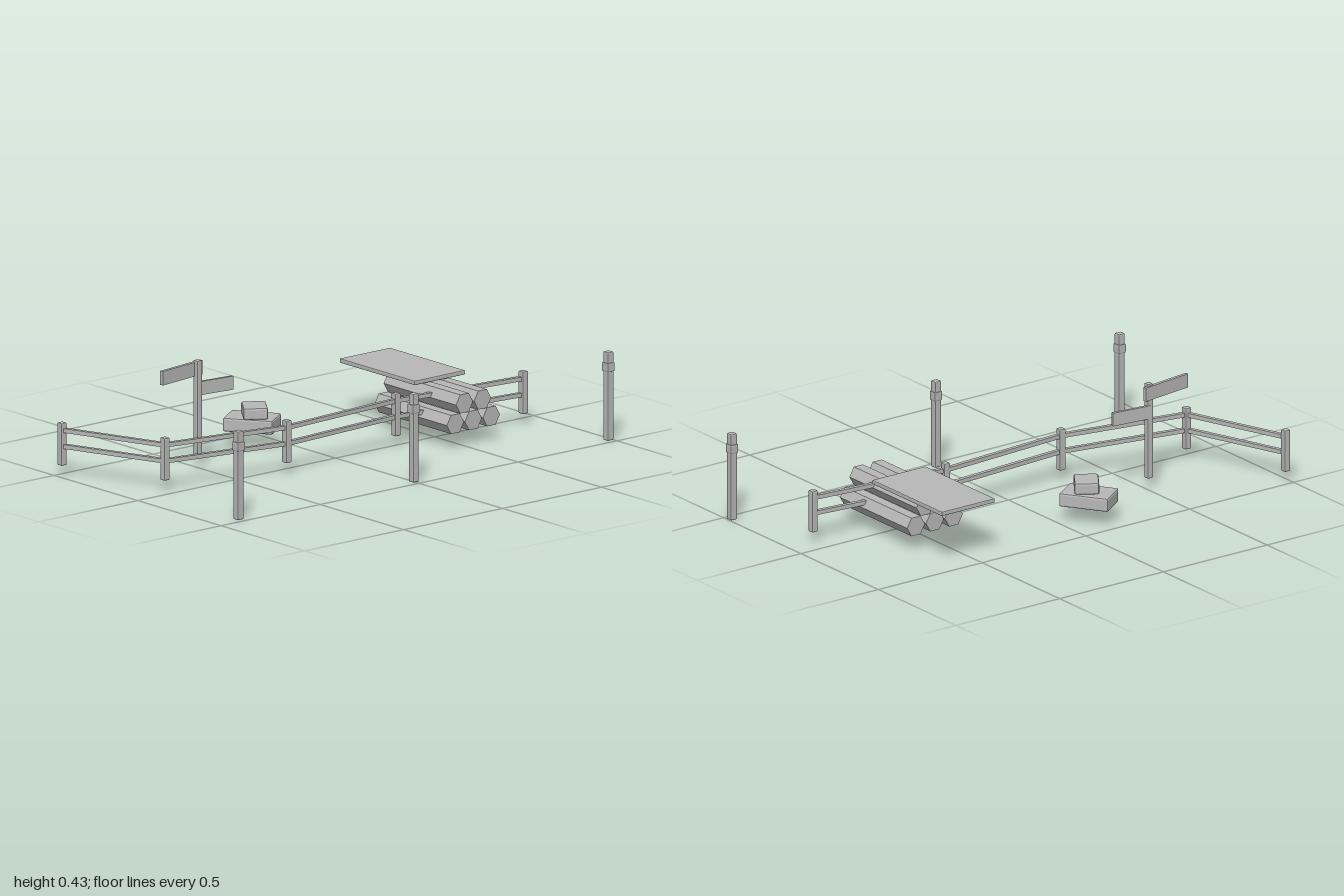
import * as THREE from 'three';
import { RoundedBoxGeometry } from 'three/addons/geometries/RoundedBoxGeometry.js';

export function createModel() {
  const model = new THREE.Group();
  model.name = 'camp';
  const grey = new THREE.MeshStandardMaterial({ color: 0xb8b8b8 });
  grey.name = 'light grey';
  grey.flatShading = true;

  const add = (name, geometry, parent = model) => {
    const mesh = new THREE.Mesh(geometry, grey);
    mesh.name = name;
    parent.add(mesh);
    return mesh;
  };
  // bevelled box standing between heights y0 and y1
  const block = (name, w, d, y0, y1, x, z, bevel = 0.004, turn = 0, parent = model) => {
    const mesh = add(name, new RoundedBoxGeometry(w, y1 - y0, d, 1, bevel), parent);
    mesh.position.set(x, (y0 + y1) / 2, z);
    mesh.rotation.y = turn;
    return mesh;
  };
  // horizontal plank from point a to point b, each [x, z]
  const plank = (name, a, b, y, height, thick, parent) => {
    const dx = b[0] - a[0], dz = b[1] - a[1];
    const mesh = add(name, new THREE.BoxGeometry(thick, height, Math.hypot(dx, dz)), parent);
    mesh.position.set((a[0] + b[0]) / 2, y, (a[1] + b[1]) / 2);
    mesh.rotation.y = Math.atan2(dx, dz);
    return mesh;
  };

  // Winding fence: posts joined by two rails
  const fence = new THREE.Group();
  fence.name = 'fence';
  model.add(fence);
  const posts = [[0.075, -0.885], [0.016, -0.292], [0.056, 0.294], [-0.044, 0.825], [-0.474, 0.982]];
  posts.forEach((p, i) => {
    const next = posts[i + 1];
    block('fencePost', 0.028, 0.028, 0.044, 0.214, p[0], p[1], 0.005, 0, fence);
    if (next) for (const y of [0.12, 0.184]) plank('fenceRail', p, next, y, 0.017, 0.017, fence);
  });

  // Tall marker posts with a collar
  for (const z of [-0.983, 0, 0.885]) {
    const marker = new THREE.Group();
    marker.name = 'markerPost';
    marker.position.set(0.468, 0, z);
    model.add(marker);
    block('markerShaft', 0.03, 0.03, 0, 0.354, 0, 0, 0.005, 0, marker);
    block('markerCollar', 0.037, 0.037, 0.274, 0.311, 0, 0, 0.005, 0, marker);
  }

  // Stack of six-sided logs, three below and two above
  const logs = new THREE.Group();
  logs.name = 'logPile';
  model.add(logs);
  const logRows = [[0.101, [-0.442, -0.533, -0.624]], [0.175, [-0.488, -0.579]]];
  for (const [y, row] of logRows) for (const z of row) {
    const geometry = new THREE.CylinderGeometry(0.043, 0.043, 0.433, 6);
    geometry.rotateZ(Math.PI / 2);
    add('log', geometry, logs).position.set(-0.023, y, z);
  }

  // Flat cover lying on the logs
  block('cover', 0.45, 0.256, 0.217, 0.235, -0.24, -0.54, 0.004);

  // Two stacked rocks, turned opposite ways
  block('largeRock', 0.2, 0.134, 0.063, 0.119, -0.359, 0.119, 0.008, 0.6);
  block('smallRock', 0.116, 0.096, 0.117, 0.165, -0.344, 0.119, 0.008, -0.61);

  // Signpost with two arms
  const sign = new THREE.Group();
  sign.name = 'signpost';
  model.add(sign);
  block('signPole', 0.026, 0.026, 0.044, 0.434, -0.22, 0.511, 0.005, 0, sign);
  plank('upperSignArm', [-0.236, 0.48], [-0.204, 0.707], 0.398, 0.056, 0.014, sign);
  plank('lowerSignArm', [-0.229, 0.515], [-0.21, 0.344], 0.318, 0.054, 0.012, sign);

  return model;
}
